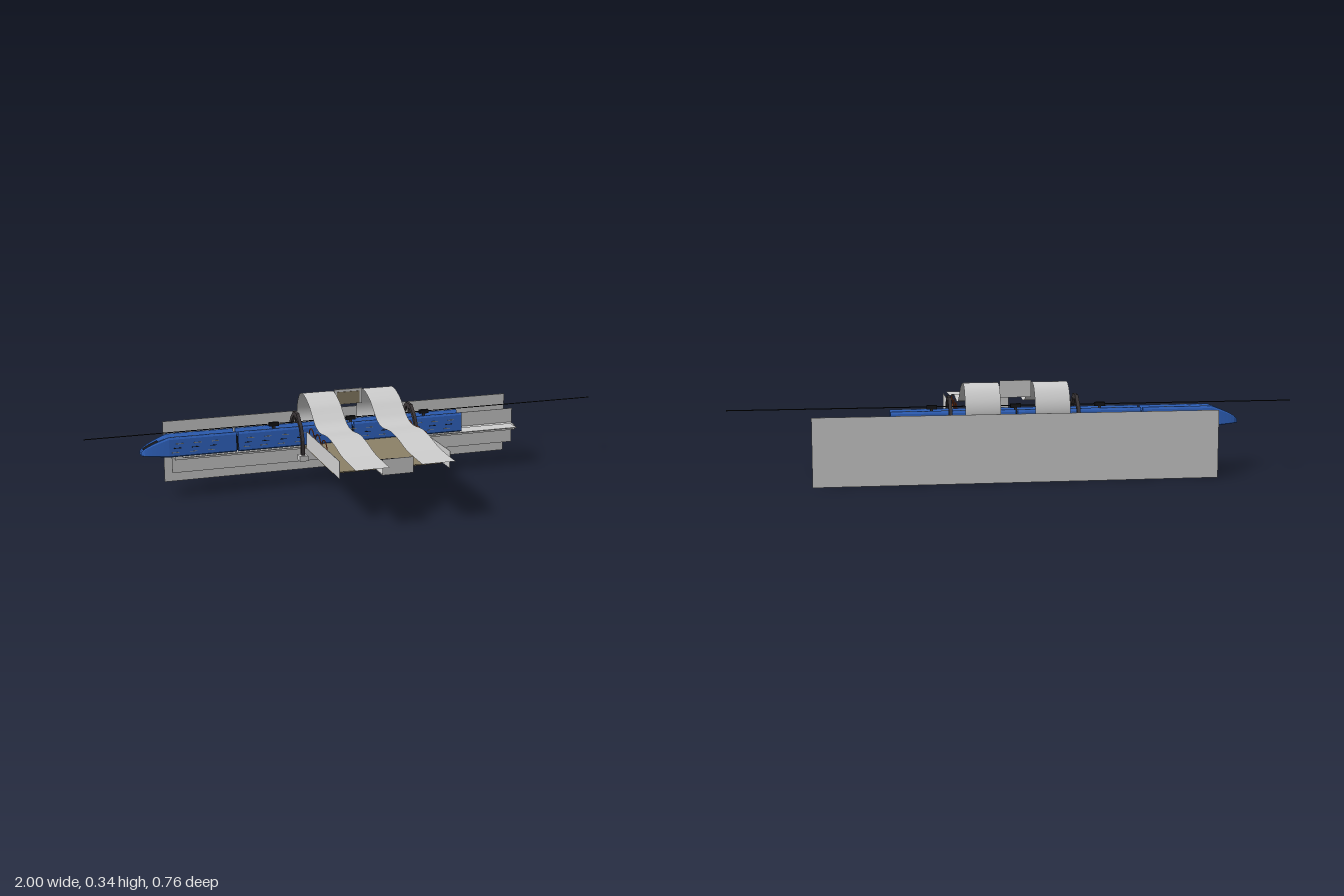
import * as THREE from 'three';

const mat = (name, color) => {
  const m = new THREE.MeshStandardMaterial({ color, side: THREE.DoubleSide });
  m.name = name;
  return m;
};

export function createModel() {
  const root = new THREE.Group();
  const grey = mat('lightGrey', 0xcfcfcf);
  const blue = mat('trainBlue', 0x3268c8);
  const dark = mat('darkSteel', 0x3a3537);
  const black = mat('black', 0x161618);
  const tan = mat('floorTan', 0x8c8168);
  const orange = mat('orange', 0xb8562a);
  const pale = mat('paleStripe', 0x9a9c98);

  const add = (name, geo, material, parent = root) => {
    const m = new THREE.Mesh(geo, material);
    m.name = name;
    parent.add(m);
    return m;
  };
  // box given by its limits on each axis
  const box = (name, material, x0, x1, y0, y1, z0, z1, parent) => {
    const g = new THREE.BoxGeometry(x1 - x0, y1 - y0, z1 - z0);
    g.translate((x0 + x1) / 2, (y0 + y1) / 2, (z0 + z1) / 2);
    return add(name, g, material, parent);
  };
  // outline of [z, y] points extruded from x0 to x1
  const extrudeX = (pts, x0, x1, steps = 1) => {
    const shape = new THREE.Shape(pts.map(([z, y]) => new THREE.Vector2(-z, y)));
    const g = new THREE.ExtrudeGeometry(shape, { depth: x1 - x0, steps, bevelEnabled: false });
    return g.rotateY(Math.PI / 2).translate(x0, 0, 0);
  };

  // Backdrop walls, side platform and track bed
  box('backWall', grey, -0.685, 0.71, 0, 0.237, -0.383, -0.381);
  box('innerWall', grey, -0.675, 0.695, 0.067, 0.205, -0.27, -0.268);
  box('sidePlatform', grey, -0.67, 0.69, 0.128, 0.148, -0.268, -0.225);
  box('trackBed', grey, -0.65, 0.675, 0.149, 0.152, -0.237, -0.173);

  // Station hall: floor, slot, side walls and entrance
  box('floor', tan, -0.195, 0.21, 0.155, 0.159, -0.167, 0.203);
  box('floorSlot', black, -0.045, 0.07, 0.153, 0.161, 0.105, 0.127);
  for (const x of [-0.195, 0.212]) {
    box('sideWall', grey, x - 0.001, x + 0.001, 0.159, 0.222, -0.13, 0.28);
  }
  box('entranceFloor', grey, -0.04, 0.075, 0.157, 0.16, 0.203, 0.282);
  box('entranceWall', grey, -0.04, 0.075, 0.16, 0.215, 0.28, 0.282);

  // Orange arches along both side walls
  for (const x of [-0.185, 0.2]) {
    for (const z of [0.066, -0.015, -0.097]) {
      const g = new THREE.TorusGeometry(0.033, 0.002, 6, 20, Math.PI);
      g.rotateY(Math.PI / 2).translate(x, 0.205, z);
      add('windowArch', g, orange);
      for (const s of [-0.033, 0.033]) {
        box('archPost', orange, x - 0.002, x + 0.002, 0.159, 0.205, z + s - 0.002, z + s + 0.002);
      }
    }
  }

  // Two roof ribbons curling over the train
  const curve = new THREE.CatmullRomCurve3([
    [0.382, 0.215], [0.3, 0.217], [0.22, 0.222], [0.13, 0.239], [0.06, 0.246],
    [-0.05, 0.237], [-0.1, 0.249], [-0.14, 0.275], [-0.185, 0.307], [-0.265, 0.331],
    [-0.31, 0.319], [-0.342, 0.277], [-0.351, 0.235], [-0.342, 0.2], [-0.315, 0.165], [-0.268, 0.147],
  ].map(([z, y]) => new THREE.Vector3(0, y, z)));
  const N = 80;
  const path = curve.getPoints(N);
  for (const x0 of [-0.17, 0.07]) {
    const g = new THREE.PlaneGeometry(0.122, 1, 1, N);
    const p = g.attributes.position;
    for (let i = 0; i < p.count; i++) {
      const q = path[N - Math.floor(i / 2)];
      p.setXYZ(i, x0 + (i % 2) * 0.122, q.y, q.z);
    }
    g.computeVertexNormals();
    add('roofRibbon', g, grey);
  }

  // Board standing between the ribbons
  box('boardFrame', grey, -0.045, 0.065, 0.278, 0.337, -0.268, -0.264);
  box('boardFace', tan, -0.035, 0.055, 0.28, 0.327, -0.264, -0.262);

  // Suspension arches with feet and hangers
  const arc = [[-0.122, 0.135], [-0.122, 0.19], [-0.145, 0.236], [-0.186, 0.27],
    [-0.224, 0.27], [-0.264, 0.236], [-0.288, 0.19], [-0.288, 0.135]];
  const offset = (d) => arc.map(([z, y], i) => {
    const a = arc[Math.max(i - 1, 0)], b = arc[Math.min(i + 1, arc.length - 1)];
    const dz = b[0] - a[0], dy = b[1] - a[1], l = Math.hypot(dz, dy);
    return [z + (dy / l) * d, y - (dz / l) * d];
  });
  const outline = [...offset(0.008), ...offset(-0.008).reverse()];
  for (const x of [-0.213, 0.235]) {
    const arch = new THREE.Group();
    arch.name = 'supportArch';
    root.add(arch);
    add('archFrame', extrudeX(outline, x - 0.006, x + 0.006), dark, arch);
    for (const z of [-0.121, -0.289]) {
      box('archFoot', grey, x - 0.016, x + 0.016, 0.115, 0.135, z - 0.017, z + 0.017, arch);
    }
    box('hangerRod', dark, x - 0.004, x + 0.004, 0.238, 0.265, -0.208, -0.202, arch);
    box('hangerCap', dark, x - 0.006, x + 0.006, 0.256, 0.264, -0.216, -0.194, arch);
  }

  // Overhead rail
  const rail = new THREE.CylinderGeometry(0.0018, 0.0018, 2, 8);
  add('overheadRail', rail.rotateZ(Math.PI / 2).translate(0, 0.241, -0.205), black);

  // Train: section with raised shoulders; the leading car tapers to a nose
  const ZC = -0.205, Y0 = 0.156;
  const half = [[0, 0.214], [0.017, 0.216], [0.024, 0.23], [0.029, 0.23], [0.032, 0.222], [0.034, 0.16], [0.031, Y0]];
  const section = [...half.map(([z, y]) => [ZC + z, y]),
    ...half.slice(1).reverse().map(([z, y]) => [ZC - z, y])];
  const train = new THREE.Group();
  train.name = 'train';
  root.add(train);
  const taper = (x) => Math.min(1, Math.max(0, (x + 0.8) / 0.1));
  const shapeNose = (g) => {
    const p = g.attributes.position;
    for (let i = 0; i < p.count; i++) {
      const t = taper(p.getX(i));
      const fy = 0.18 + 0.82 * Math.pow(t, 0.75), fz = 0.45 + 0.55 * Math.sqrt(t);
      p.setY(i, Y0 + (p.getY(i) - Y0) * fy + 0.01 * (1 - t));
      p.setZ(i, ZC + (p.getZ(i) - ZC) * fz);
    }
    g.computeVertexNormals();
    return g;
  };
  const cars = [[-0.8, -0.45], [-0.443, -0.004], [0.003, 0.44]];
  cars.forEach(([a, b], i) => {
    const g = extrudeX(section, a, b, i ? 1 : 28);
    add(i ? 'car' : 'noseCar', i ? g : shapeNose(g), blue, train);
    if (i) box('gangway', black, a - 0.008, a + 0.001, 0.16, 0.212, ZC - 0.027, ZC + 0.027, train);
  });
  // pale and dark dashes on the train sides and roof
  for (let k = 0; k < 17; k++) {
    const x = -0.69 + k * 0.066;
    if (x > -0.5 && x < -0.44) continue;
    for (const s of [-1, 1]) {
      for (let r = 0; r < 3; r++) {
        const y = 0.172 + r * 0.016, a = x + r * 0.008;
        box('sideDash', r === 1 ? black : pale, a, a + 0.026, y, y + 0.0022,
          ZC + s * 0.0335 - 0.0015, ZC + s * 0.0335 + 0.0015, train);
      }
      box('roofDash', pale, x, x + 0.03, 0.2295, 0.231, ZC + s * 0.0265 - 0.001, ZC + s * 0.0265 + 0.001, train);
    }
  }
  // windscreen follows the sloped nose
  const screen = extrudeX([[ZC - 0.02, 0.218], [ZC + 0.02, 0.218], [ZC + 0.02, 0.222], [ZC - 0.02, 0.222]], -0.79, -0.735, 8);
  add('windscreen', shapeNose(screen), black, train);

  // Roof trolleys gripping the rail
  for (const x of [-0.76, -0.3, 0, 0.295]) {
    if (x < -0.7) continue;
    box('trolley', black, x - 0.018, x + 0.018, 0.233, 0.247, ZC - 0.007, ZC + 0.007, train);
    box('trolleyStem', dark, x - 0.005, x + 0.005, 0.212, 0.235, ZC - 0.004, ZC + 0.004, train);
  }
  return root;
}
